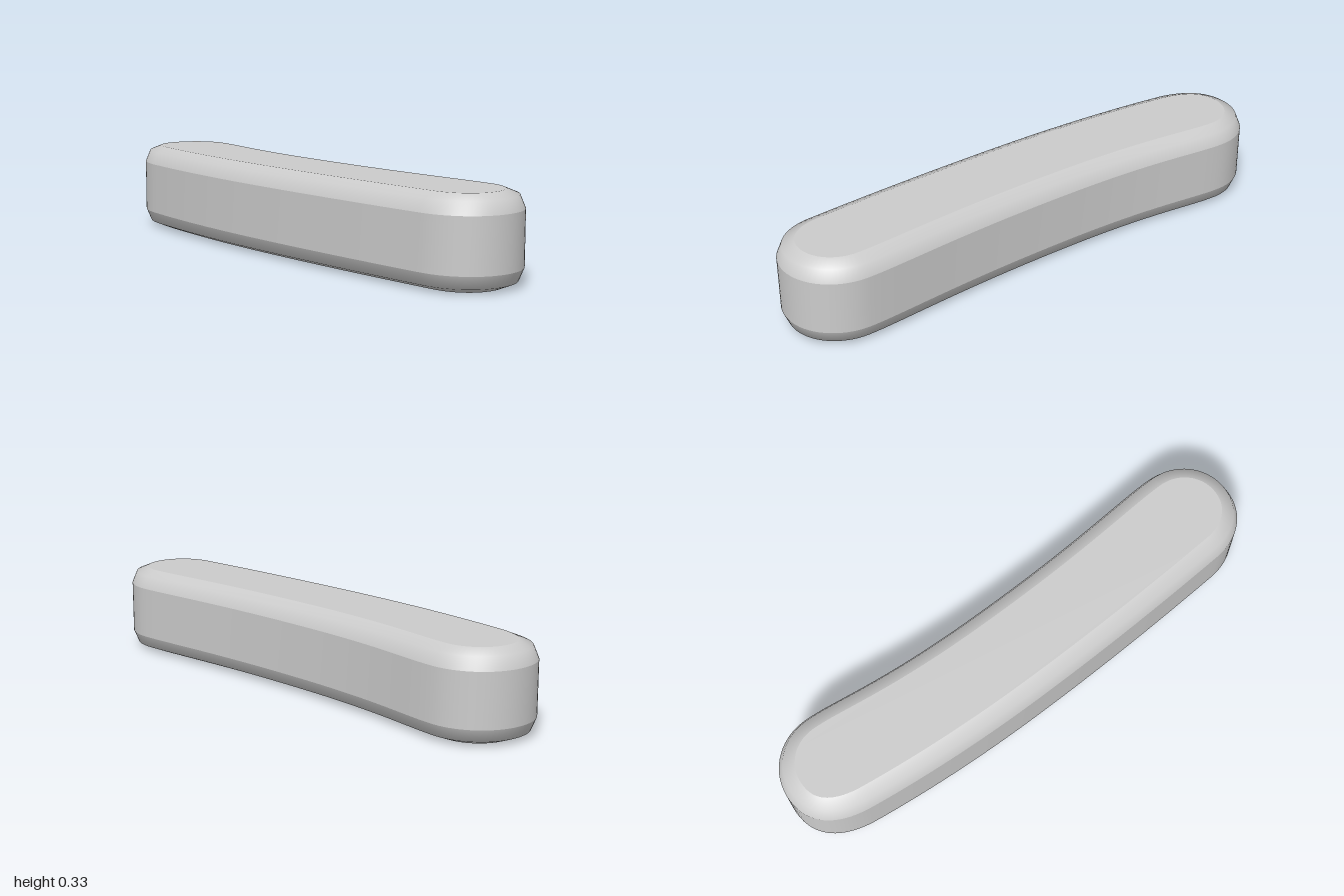
import * as THREE from 'three';

const HEIGHT = 0.326;
const BEVEL = 0.065;
const STEPS = 16;

// Curved bar outline seen from above, in (x, z)
function outlineSamples() {
  const path = new THREE.Path();
  path.moveTo(0.015, -1);
  path.bezierCurveTo(0.13, -1, 0.223, -0.91, 0.223, -0.79); // back lobe
  path.bezierCurveTo(0.223, -0.66, 0.17, -0.5, 0.172, -0.05); // hollow side
  path.bezierCurveTo(0.172, 0.4, 0.211, 0.65, 0.211, 0.79);
  path.bezierCurveTo(0.211, 0.91, 0.12, 1, 0.01, 1); // front lobe
  path.bezierCurveTo(-0.1, 1, -0.18, 0.92, -0.19, 0.8);
  path.bezierCurveTo(-0.2, 0.65, -0.223, 0.3, -0.223, -0.1); // bulging side
  path.bezierCurveTo(-0.223, -0.4, -0.2, -0.65, -0.18, -0.8);
  path.bezierCurveTo(-0.16, -0.92, -0.1, -1, 0.015, -1);
  const samples = [];
  for (const curve of path.curves) {
    for (let i = 0; i < STEPS; i++) {
      const p = curve.getPoint(i / STEPS);
      const t = curve.getTangent(i / STEPS);
      samples.push({ p, n: new THREE.Vector2(t.y, -t.x) });
    }
  }
  return samples;
}

const insetOutline = (samples, inset) => samples.map(({ p, n }) => p.clone().addScaledVector(n, -inset));

// Smooth closed band through rings given as [height, inset], lowest first
function band(samples, rings) {
  const positions = [], index = [], count = samples.length;
  for (const [y, inset] of rings) {
    for (const q of insetOutline(samples, inset)) positions.push(q.x, y, q.y);
  }
  for (let r = 0; r < rings.length - 1; r++) {
    for (let i = 0; i < count; i++) {
      const a = r * count + i, b = r * count + (i + 1) % count;
      index.push(a, a + count, b, b, a + count, b + count);
    }
  }
  const geometry = new THREE.BufferGeometry();
  geometry.setAttribute('position', new THREE.Float32BufferAttribute(positions, 3));
  geometry.setIndex(index);
  geometry.computeVertexNormals();
  return geometry;
}

// Flat face: side +1 for the top, -1 for the underside
function cap(samples, side) {
  const points = insetOutline(samples, BEVEL).map((q) => new THREE.Vector2(q.x, -side * q.y));
  const geometry = new THREE.ShapeGeometry(new THREE.Shape(points));
  geometry.rotateX(-side * Math.PI / 2);
  geometry.translate(0, side > 0 ? HEIGHT : 0, 0);
  return geometry;
}

export function createModel() {
  const group = new THREE.Group();
  group.name = 'curvedBar';
  const material = new THREE.MeshStandardMaterial({ color: 0xcccccc });
  const add = (name, geometry) => {
    const mesh = new THREE.Mesh(geometry, material);
    mesh.name = name;
    group.add(mesh);
  };

  const samples = outlineSamples();
  // Two-step rounded edge
  const edge = [0, 1, 2].map((i) => {
    const a = i * Math.PI / 4;
    return [BEVEL * (1 - Math.sin(a)), BEVEL * (1 - Math.cos(a))];
  });
  const upperEdge = edge.map(([y, inset]) => [HEIGHT - y, inset]);
  const lowerEdge = edge.slice().reverse().map(([y], i) => [y, edge[2 - i][1]]);

  add('sideWall', band(samples, [[BEVEL, 0], [HEIGHT - BEVEL, 0]]));
  add('upperEdge', band(samples, upperEdge));
  add('lowerEdge', band(samples, lowerEdge));
  add('topFace', cap(samples, 1));
  add('bottomFace', cap(samples, -1));
  return group;
}
